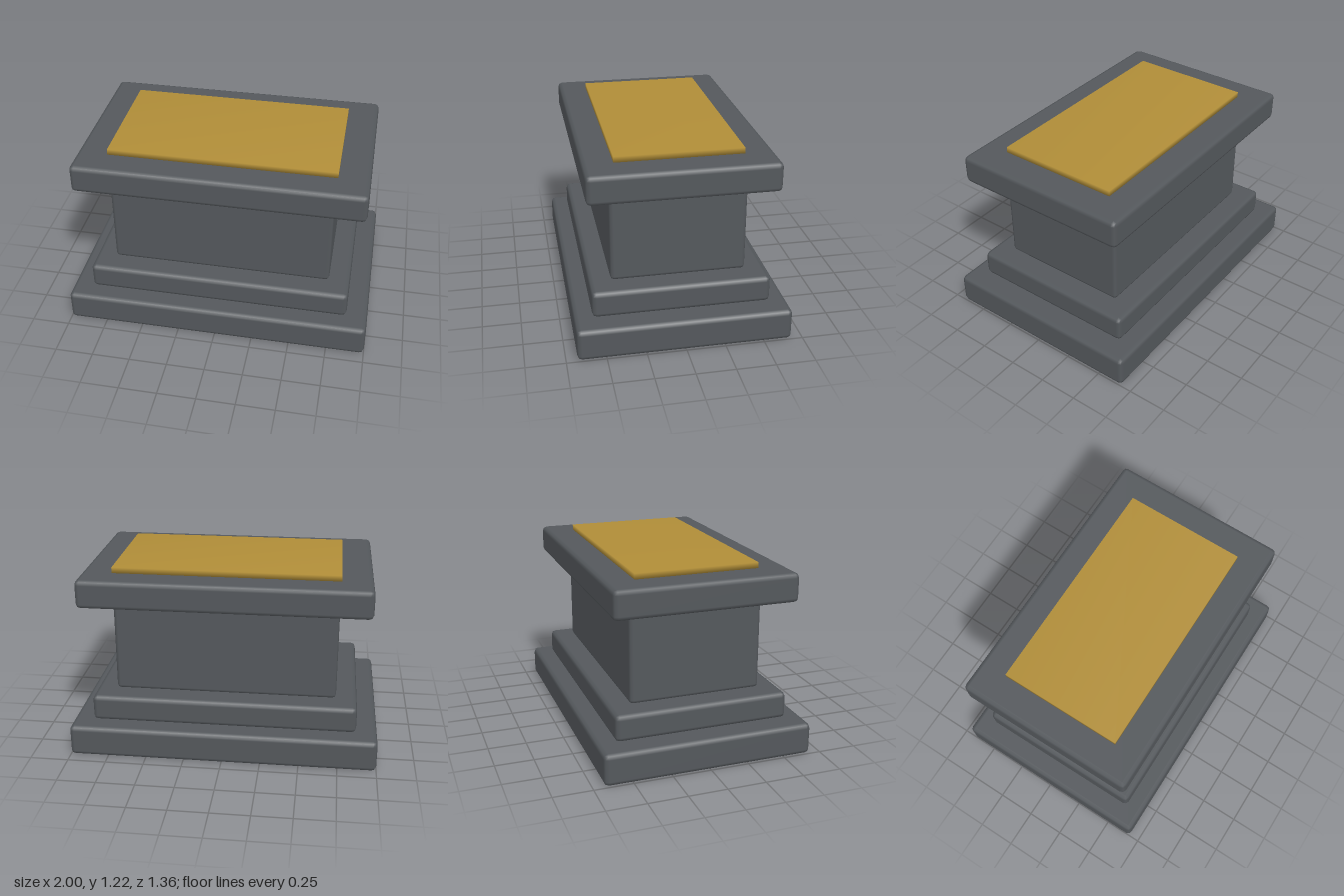
import * as THREE from 'three';
import { RoundedBoxGeometry } from 'three/addons/geometries/RoundedBoxGeometry.js';
import { mergeVertices } from 'three/addons/utils/BufferGeometryUtils.js';

export function createModel() {
  const model = new THREE.Group();
  model.name = 'pedestal';

  const stone = new THREE.MeshStandardMaterial({ color: 0x54585c });
  stone.name = 'dark grey stone';
  const gold = new THREE.MeshStandardMaterial({ color: 0xb08d38 });
  gold.name = 'old gold';

  function add(name, geometry, material, y0, y1) {
    const mesh = new THREE.Mesh(geometry, material);
    mesh.name = name;
    mesh.position.y = (y0 + y1) / 2;
    model.add(mesh);
  }

  // Stacked stone blocks: name, width, depth, bottom, top, edge radius
  const blocks = [
    ['basePlinth', 2.0, 1.36, 0, 0.205, 0.03],
    ['upperPlinth', 1.726, 1.134, 0.208, 0.38, 0.03],
    ['body', 1.452, 0.866, 0.384, 0.992, 0.025],
    ['capSlab', 1.86, 1.176, 0.995, 1.18, 0.03],
  ];
  for (const [name, w, d, y0, y1, r] of blocks) {
    add(name, new RoundedBoxGeometry(w, y1 - y0, d, 1, r), stone, y0, y1);
  }

  // Thin gold plate with softly shaded edges
  let plate = new THREE.BoxGeometry(1.46, 0.04, 0.8);
  plate.deleteAttribute('normal');
  plate.deleteAttribute('uv');
  plate = mergeVertices(plate);
  plate.computeVertexNormals();
  add('topPlate', plate, gold, 1.177, 1.217);

  return model;
}
